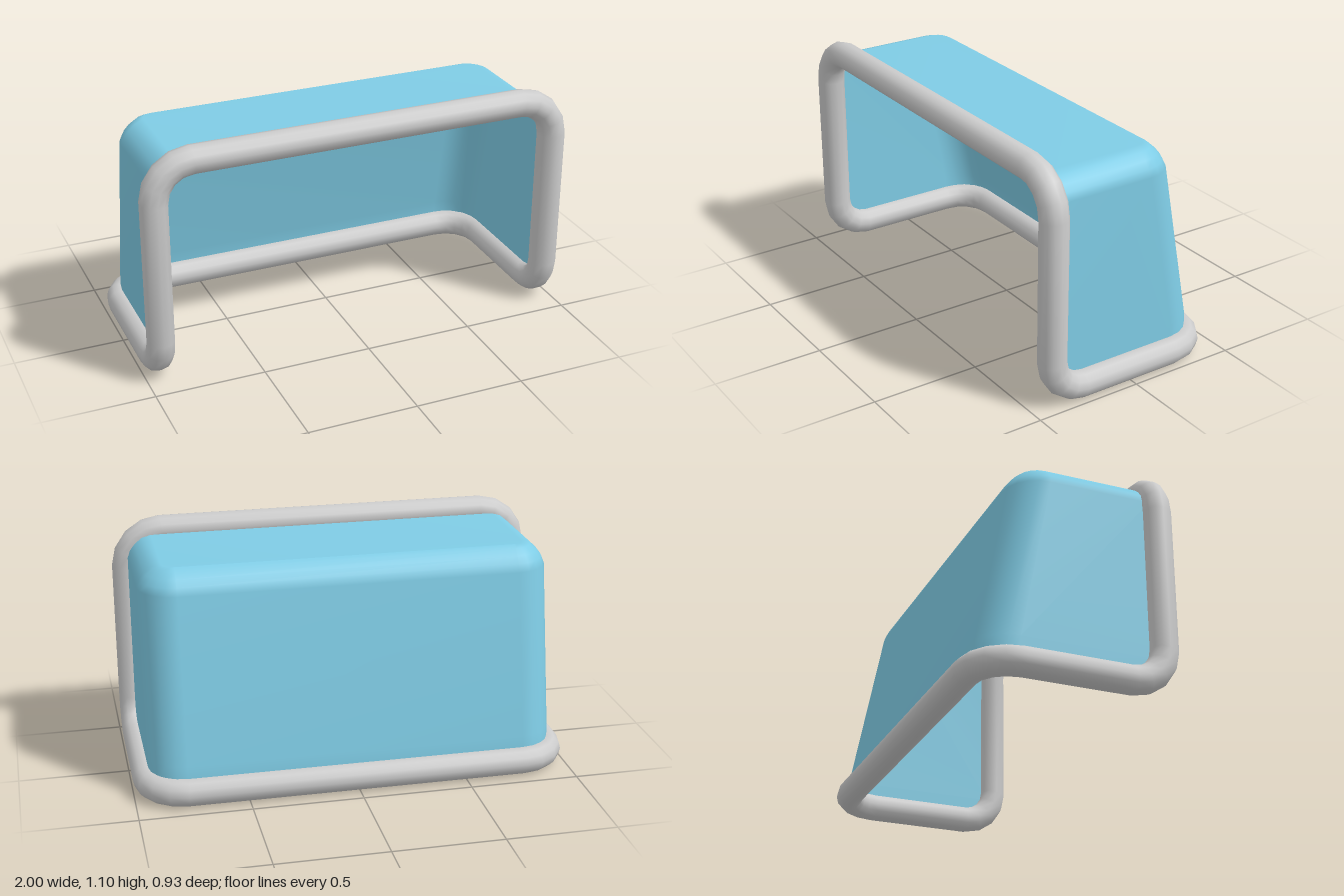
import * as THREE from 'three';

const v = (x, y, z) => new THREE.Vector3(x, y, z);

// Curve through listed points of a closed loop, with mitred tangents.
class LoopCurve extends THREE.Curve {
  constructor(points) {
    super();
    this.points = points;
  }
  at(i) {
    const n = this.points.length;
    return this.points[(i + n) % n];
  }
  getPointAt(u, target = v()) {
    return target.copy(this.at(Math.round(u * this.points.length)));
  }
  getTangentAt(u, target = v()) {
    const i = Math.round(u * this.points.length) % this.points.length;
    const into = this.at(i).clone().sub(this.at(i - 1)).normalize();
    const out = this.at(i + 1).clone().sub(this.at(i)).normalize();
    return target.copy(into).add(out).normalize();
  }
}

// Closed path with every corner replaced by a four-step arc.
function roundedLoop(corners, steps = 4) {
  const points = [];
  corners.forEach(([c, r], i) => {
    const prev = corners[(i + corners.length - 1) % corners.length][0];
    const next = corners[(i + 1) % corners.length][0];
    const a = prev.clone().sub(c).normalize();
    const b = next.clone().sub(c).normalize();
    for (let k = 0; k <= steps; k++) {
      const t = (k / steps) * Math.PI / 2;
      points.push(c.clone()
        .addScaledVector(a, r * (1 - Math.sin(t)))
        .addScaledVector(b, r * (1 - Math.cos(t))));
    }
  });
  return points;
}

// U-shaped section of the net, running left front, back, right front.
function netSection(y, inset, back) {
  const half = 0.93 - inset, r = 0.16 - inset, steps = 5;
  const side = [v(half, y, 0.37)];
  for (let k = 0; k <= steps; k++) {
    const t = (k / steps) * Math.PI / 2;
    side.push(v(half - r * (1 - Math.cos(t)), y, back + r * (1 - Math.sin(t))));
  }
  const mirrored = side.map(p => v(-p.x, p.y, p.z)).reverse();
  return [...side, ...mirrored];
}

function netGeometry() {
  // Height, inset and back depth of each section
  const rings = [
    [0.09, 0, -0.4], [0.18, 0, -0.395], [0.92, 0, -0.25],
    [0.955, 0.012, -0.233], [0.985, 0.035, -0.21],
    [1.012, 0.068, -0.18], [1.024, 0.11, -0.155],
  ].map(level => netSection(...level));
  // The roof closes to the centre line
  rings.push(rings[rings.length - 1].map(p => v(0, p.y, p.z)));

  const n = rings[0].length, index = [];
  for (let j = 0; j < rings.length - 1; j++) {
    for (let i = 0; i < n - 1; i++) {
      const a = j * n + i, b = a + 1, c = a + n, d = c + 1;
      index.push(a, b, d, a, d, c);
    }
  }
  const geometry = new THREE.BufferGeometry().setFromPoints(rings.flat());
  geometry.setIndex(index);
  geometry.computeVertexNormals();
  return geometry;
}

export function createModel() {
  const group = new THREE.Group();
  group.name = 'goal';

  // One continuous pipe: crossbar, posts and ground bars
  const X = 0.937, top = 1.035, low = 0.063, Z = 0.4;
  const path = roundedLoop([
    [v(X, top, Z), 0.17], [v(-X, top, Z), 0.17],
    [v(-X, low, Z), 0.15], [v(-X, low, -Z), 0.17],
    [v(X, low, -Z), 0.17], [v(X, low, Z), 0.15],
  ]);
  const frame = new THREE.Mesh(
    new THREE.TubeGeometry(new LoopCurve(path), path.length, 0.063, 12, true),
    new THREE.MeshStandardMaterial({ color: 0xcccccc }));
  frame.name = 'frame';

  // Thin net covering back, sides and top
  const net = new THREE.Mesh(netGeometry(),
    new THREE.MeshStandardMaterial({ color: 0x7fcce5, side: THREE.DoubleSide }));
  net.name = 'net';

  group.add(frame, net);
  return group;
}
